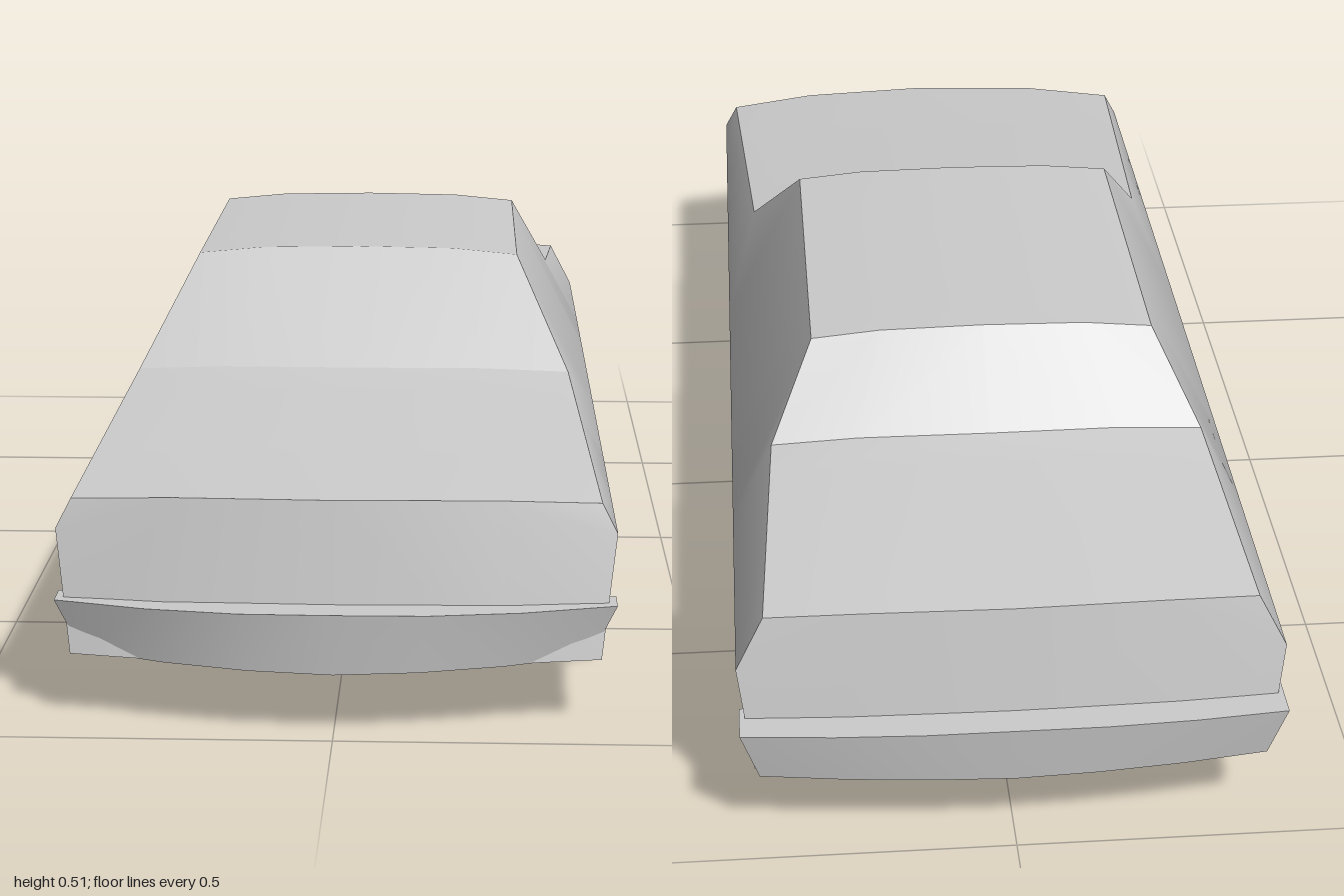
import * as THREE from 'three';
import { toCreasedNormals } from 'three/addons/utils/BufferGeometryUtils.js';

const material = new THREE.MeshStandardMaterial({ color: 0xcccccc });
const { lerp } = THREE.MathUtils;
const V = (x, y, z) => new THREE.Vector3(x, y, z);

// Collects quads together with their mirror images across x = 0
class Panel {
  constructor() { this.tris = []; }
  tri(a, b, c) {
    const area = b.clone().sub(a).cross(c.clone().sub(a)).length();
    if (area > 1e-7) this.tris.push(a, b, c);
  }
  quad(a, b, c, d) {
    const m = (p) => V(-p.x, p.y, p.z);
    this.tri(a, b, c);
    this.tri(a, c, d);
    this.tri(m(c), m(b), m(a));
    this.tri(m(d), m(c), m(a));
  }
  // skin between neighbouring sections, columns j0..j1
  skin(sections, j0, j1) {
    for (let i = 0; i + 1 < sections.length; i++) {
      const p = sections[i], q = sections[i + 1];
      for (let j = j0; j < j1; j++) this.quad(p[j], p[j + 1], q[j + 1], q[j]);
    }
    return this;
  }
  mesh(name, crease) {
    const geo = new THREE.BufferGeometry().setFromPoints(this.tris);
    geo.computeVertexNormals();
    const mesh = new THREE.Mesh(toCreasedNormals(geo, crease), material);
    mesh.name = name;
    return mesh;
  }
}

// Piecewise linear lookup in rows [z, a, b, ...] sorted from front to rear
function sample(rows, z, k) {
  if (z >= rows[0][0]) return rows[0][k];
  for (let i = 0; i + 1 < rows.length; i++) {
    const p = rows[i], q = rows[i + 1];
    if (z >= q[0]) return lerp(p[k], q[k], (z - p[0]) / (q[0] - p[0]));
  }
  return rows[rows.length - 1][k];
}

// z, edge height, crown
const TOP = [
  [0.89, 0.3, 0.011], [0.315, 0.352, 0.012], [0.125, 0.5, 0.012],
  [-0.43, 0.5, 0.012], [-0.523, 0.376, 0.017], [-0.91, 0.335, 0.01],
];
// z, sill height
const SILL = [[0.89, 0.093], [0.72, 0.086], [0, 0.078], [-0.6, 0.088], [-0.91, 0.112]];
// z, bow of the top line, bow of the bottom line, lean
const BOW = {
  0.89: [0.04, 0.04, 0.035], 0.315: [0.037, 0, 0],
  '-0.523': [-0.02, 0, 0], '-0.91': [-0.02, -0.02, -0.035],
};
// wheel arch outline: z offset, height
const ARCH = [[0.146, 0], [0.128, 0.185], [0.072, 0.25], [-0.072, 0.25], [-0.128, 0.185], [-0.15, 0]];
const AXLES = [0.576, -0.453];
const BELT = { x: 0.377, y: 0.26 };
const SILL_X = 0.357, WELL_X = 0.24;

function archHeight(z) {
  for (const axle of AXLES) {
    const d = z - axle;
    if (d < ARCH[0][0] + 1e-6 && d > ARCH[5][0] - 1e-6) return sample(ARCH, d, 1);
  }
  return 0;
}

// Half section: top centre, top middle, top edge, belt, sill, well top, well foot, bottom centre
function section(z) {
  const ye = sample(TOP, z, 1), crown = sample(TOP, z, 2), ys = sample(SILL, z, 1);
  const [topBow, lowBow, lean] = BOW[z] || [0, 0, 0];
  const xe = BELT.x - 0.52 * (ye - BELT.y);
  const ya = Math.max(ys, archHeight(z));
  const xs = lerp(SILL_X, BELT.x, (ya - ys) / (BELT.y - ys));
  const at = (x, y, bow) => V(x, y,
    z + lean * Math.max(0, (ye - y) / (ye - ys)) + bow * Math.max(0, 1 - (x / xe) ** 2));
  return [
    at(0, ye + crown, topBow), at(xe * 0.6, ye + crown * 0.8, topBow), at(xe, ye, 0),
    at(BELT.x, BELT.y, 0), at(xs, ya, 0), at(WELL_X, ya, lowBow),
    at(WELL_X, ys - (ya > ys ? 0.004 : 0), lowBow), at(0, ys - 0.011, lowBow),
  ];
}

// Bumper wrapped across the car; dir is +1 at the front, -1 at the rear
function bumper(name, dir, { edge, bow, back, top, bottom, width, taper }) {
  const panel = new Panel();
  const columns = [0, 0.33, 0.66, 1].map((t) => {
    const curve = bow * (1 - t * t);
    const p = (x, y, z) => V(x * t, y, dir * z);
    const crown = 0.006 * (1 - t);
    return [
      p(width, top + crown, back + curve * 0.6), p(width, top + crown, edge + curve),
      p(taper, bottom - crown, edge - 0.012 + curve), p(taper, bottom - crown, back + curve * 0.6),
    ];
  });
  const face = (a, b, c, d) => (dir > 0 ? panel.quad(a, b, c, d) : panel.quad(d, c, b, a));
  for (let i = 0; i < 3; i++) {
    const p = columns[i], q = columns[i + 1];
    for (let j = 0; j < 3; j++) face(p[j], p[j + 1], q[j + 1], q[j]);
  }
  face(...columns[3]);
  return panel.mesh(name, 0.5);
}

function wheel(name, side, z) {
  const profile = [[0, -0.058], [0.1, -0.057], [0.127, -0.046], [0.127, 0.044], [0.1, 0.056], [0, 0.062]];
  const geo = new THREE.LatheGeometry(profile.map(([r, y]) => new THREE.Vector2(r, y)), 8, Math.PI / 8);
  geo.rotateZ(-side * Math.PI / 2);
  const mesh = new THREE.Mesh(geo, material);
  mesh.name = name;
  mesh.position.set(side * 0.316, 0.118, z);
  return mesh;
}

export function createModel() {
  const car = new THREE.Group();
  car.name = 'car';

  // Stations from nose to tail
  const stations = [...TOP.map((r) => r[0]), 0];
  for (const axle of AXLES) {
    for (const [d] of ARCH) if (Math.abs(axle + d + 0.523) > 0.005) stations.push(axle + d);
  }
  stations.sort((a, b) => b - a);
  const sections = stations.map(section);
  const between = (front, rear) => sections.filter((s, i) => stations[i] <= front && stations[i] >= rear);

  // Top panels, one between each pair of key lines
  ['hood', 'windshield', 'roof', 'rearWindow', 'trunkLid'].forEach((name, i) => {
    car.add(new Panel().skin(between(TOP[i][0], TOP[i + 1][0]), 0, 2).mesh(name, 0.5));
  });

  // Sides with wheel wells, and the floor
  car.add(new Panel().skin(sections, 2, 6).mesh('bodySides', 0.65));
  car.add(new Panel().skin(sections, 6, 7).mesh('underbody', 0.5));

  // Nose and tail
  const nose = new Panel(), n = sections[0];
  nose.quad(n[0], n[7], n[6], n[1]);
  nose.quad(n[1], n[6], n[4], n[3]);
  nose.quad(n[1], n[3], n[2], n[2]);
  car.add(nose.mesh('nose', 0.5));
  const tail = new Panel(), t = sections[sections.length - 1];
  tail.quad(t[1], t[6], t[7], t[0]);
  tail.quad(t[3], t[4], t[6], t[1]);
  tail.quad(t[2], t[3], t[1], t[1]);
  car.add(tail.mesh('tail', 0.5));

  car.add(bumper('frontBumper', 1,
    { edge: 0.925, bow: 0.075, back: 0.88, top: 0.168, bottom: 0.094, width: 0.377, taper: 0.343 }));
  car.add(bumper('rearBumper', -1,
    { edge: 0.975, bow: 0.025, back: 0.91, top: 0.188, bottom: 0.112, width: 0.375, taper: 0.35 }));

  for (const [side, label] of [[1, 'Left'], [-1, 'Right']]) {
    car.add(wheel('front' + label + 'Wheel', side, AXLES[0]));
    car.add(wheel('rear' + label + 'Wheel', side, AXLES[1]));
  }
  return car;
}
